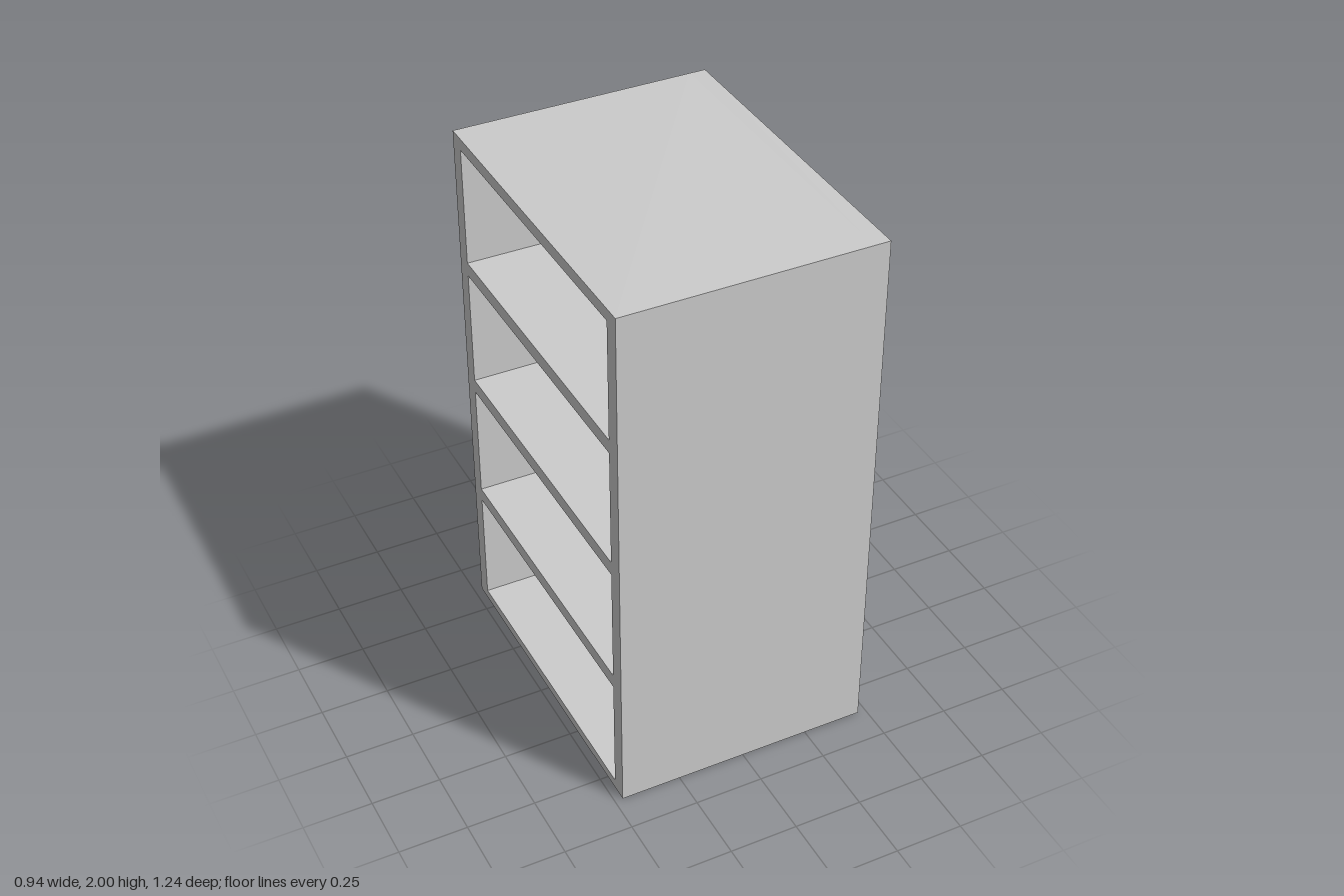
import * as THREE from 'three';

const W = 0.94, H = 2, D = 1.235;     // overall x, y, z
const WALL = 0.06;                    // side walls and closing panel
const BASE = 0.035, BAY = 0.442, PITCH = 0.493, BAYS = 4;

// Adds a rectangle's corners to a shape or path
function rect(path, x0, y0, x1, y1) {
  path.moveTo(x0, y0);
  path.lineTo(x1, y0);
  path.lineTo(x1, y1);
  path.lineTo(x0, y1);
  path.closePath();
  return path;
}

export function createModel() {
  const group = new THREE.Group();
  group.name = 'shelfCabinet';
  const material = new THREE.MeshStandardMaterial({ color: 0xcccccc });

  // Side walls, top, base and shelves: one outline with a hole per bay
  const outline = rect(new THREE.Shape(), -D / 2, 0, D / 2, H);
  for (let i = 0; i < BAYS; i++) {
    const y = BASE + i * PITCH;
    outline.holes.push(rect(new THREE.Path(), -D / 2 + WALL, y, D / 2 - WALL, y + BAY));
  }
  const frameGeometry = new THREE.ExtrudeGeometry(outline, { depth: W - WALL, bevelEnabled: false });
  frameGeometry.rotateY(-Math.PI / 2);            // bays open towards -x
  frameGeometry.translate(W / 2 - WALL, 0, 0);
  const frame = new THREE.Mesh(frameGeometry, material);
  frame.name = 'frameAndShelves';
  group.add(frame);

  // Panel that closes the bays on the +x side
  const panel = new THREE.Mesh(new THREE.BoxGeometry(WALL, H, D), material);
  panel.name = 'closingPanel';
  panel.position.set(W / 2 - WALL / 2, H / 2, 0);
  group.add(panel);

  return group;
}
